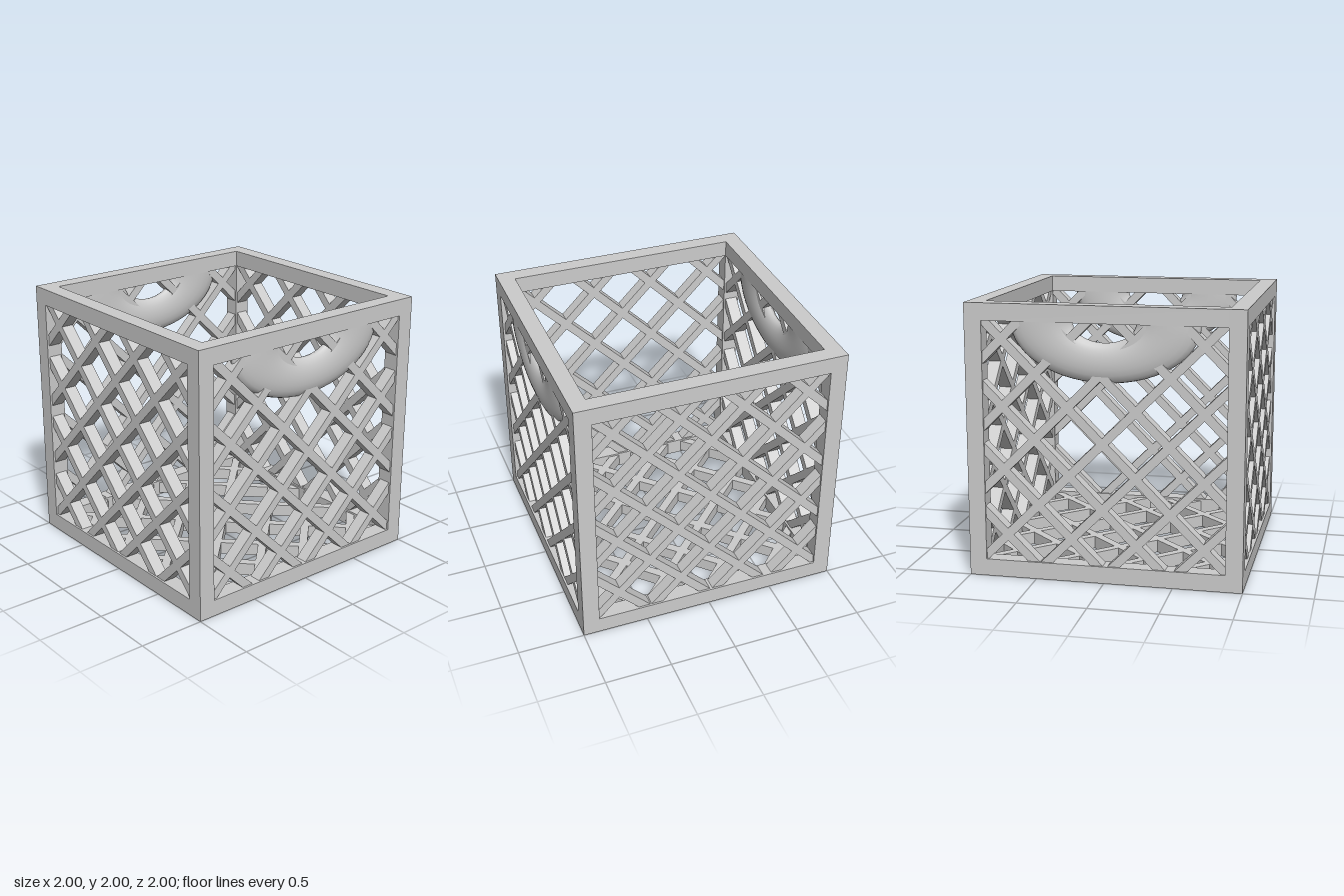
import * as THREE from 'three';

const T = 0.125;           // frame bar thickness
const MID = 1 - T / 2;     // centre line of the frame bars
const INNER = 1 - T;       // half size of each opening
const BAR_WIDTH = 0.064, BAR_DEPTH = 0.095;

const material = new THREE.MeshStandardMaterial({ color: 0xcccccc });

function addBox(parent, name, size, position) {
  const mesh = new THREE.Mesh(new THREE.BoxGeometry(...size), material);
  mesh.name = name;
  mesh.position.set(...position);
  parent.add(mesh);
  return mesh;
}

// Diagonal lattice in the local xy plane: rising bars lie on x - y = c,
// falling bars on x + y = c.
function lattice(name, rising, falling) {
  const panel = new THREE.Group();
  panel.name = name;
  for (const [offsets, dir] of [[rising, 1], [falling, -1]]) {
    for (const c of offsets) {
      // centre line clipped to the opening, ends buried in the frame
      const length = (2 * INNER - Math.abs(c)) * Math.SQRT2 + BAR_WIDTH;
      const bar = addBox(panel, dir > 0 ? 'risingBar' : 'fallingBar',
        [length, BAR_WIDTH, BAR_DEPTH], [c / 2, -dir * c / 2, 0]);
      bar.rotation.z = dir * Math.PI / 4;
    }
  }
  return panel;
}

export function createModel() {
  const crate = new THREE.Group();
  crate.name = 'crate';

  // Frame: four posts, with top and bottom rails between them
  const frame = new THREE.Group();
  frame.name = 'frame';
  crate.add(frame);
  for (const a of [-MID, MID]) {
    for (const b of [-MID, MID]) {
      addBox(frame, 'cornerPost', [T, 2, T], [a, 1, b]);
      addBox(frame, 'crossRail', [2 * INNER, T, T], [0, 1 + a, b]);
      addBox(frame, 'sideRail', [T, T, 2 * INNER], [b, 1 + a, 0]);
    }
  }

  // Lattice panels on four sides and the floor; the top stays open
  const frontRising = [-1.47, -0.98, -0.5, -0.02, 0.47, 0.91, 1.39];
  const frontFalling = [-1.44, -0.95, -0.46, 0.03, 0.52, 0.99, 1.48];
  const sideRising = [-1.45, -0.98, -0.49, -0.01, 0.475, 0.93, 1.395];
  const sideFalling = [-1.43, -0.945, -0.45, 0.03, 0.535, 1.0, 1.485];
  const floorRising = [-1.425, -0.95, -0.465, 0.035, 0.54, 0.995, 1.485];
  const floorFalling = [-1.42, -0.95, -0.47, 0.015, 0.51, 0.95, 1.455];
  for (const s of [1, -1]) {
    const face = lattice(s > 0 ? 'frontLattice' : 'backLattice', frontRising, frontFalling);
    face.position.set(0, 1, s * MID);
    const side = lattice(s > 0 ? 'leftLattice' : 'rightLattice', sideRising, sideFalling);
    side.position.set(s * MID, 1, 0);
    side.rotation.y = Math.PI / 2;
    crate.add(face, side);
  }
  const floor = lattice('floorLattice', floorRising, floorFalling);
  floor.position.y = T / 2;
  floor.rotation.x = -Math.PI / 2;
  crate.add(floor);

  // Handles: flattened half rings hanging below the side rails
  const ring = new THREE.TorusGeometry(0.4525, 0.2275, 20, 28, Math.PI);
  ring.rotateZ(Math.PI).rotateY(Math.PI / 2).scale(0.278, 0.625, 1);
  for (const s of [1, -1]) {
    const handle = new THREE.Mesh(ring, material);
    handle.name = s > 0 ? 'leftHandle' : 'rightHandle';
    handle.position.set(s * MID, 1.876, 0);
    crate.add(handle);
  }
  return crate;
}
